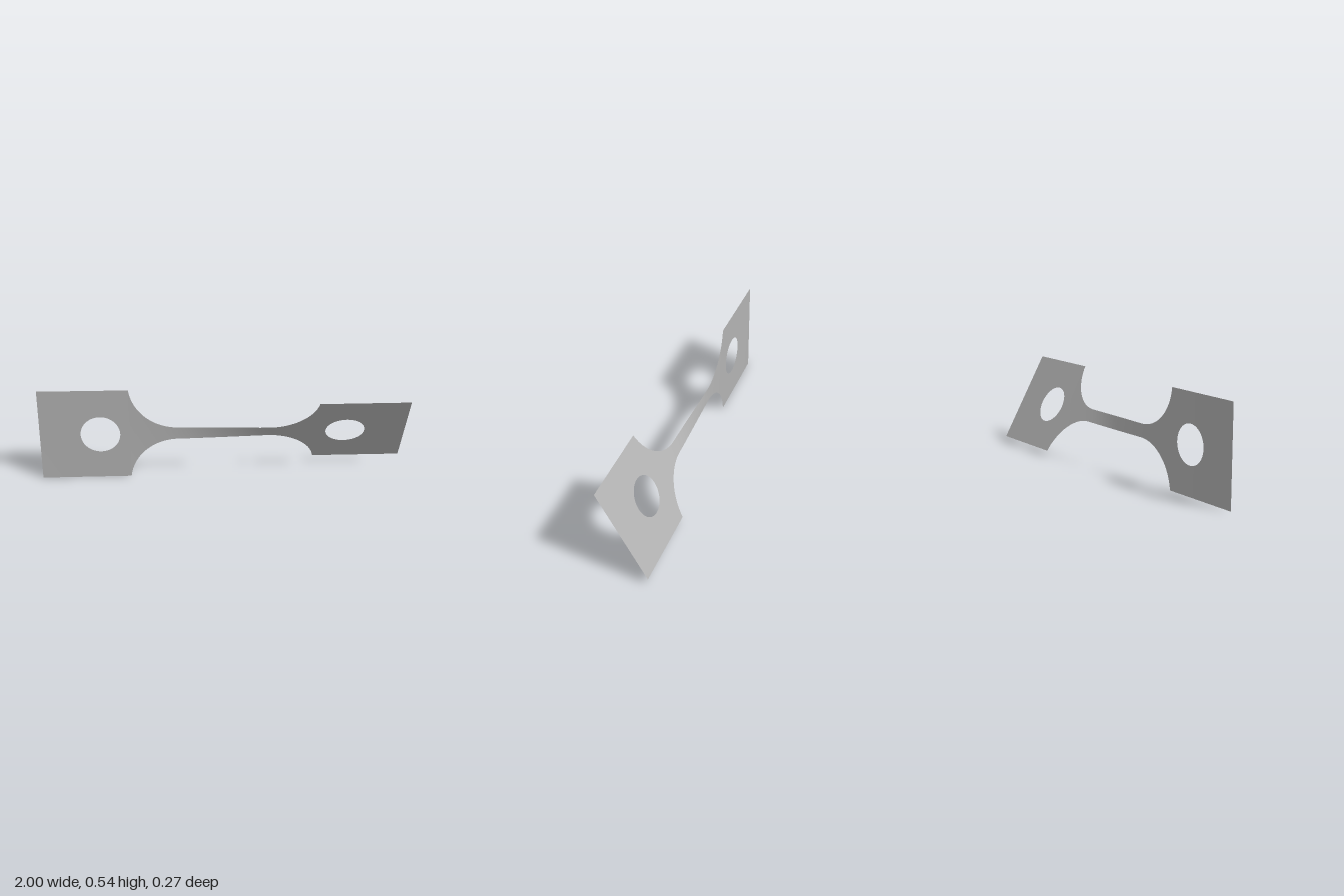
import * as THREE from 'three';

const HALF = 0.271;        // half height of the grips
const NECK = 0.037;        // half height of the gauge strip
const GRIP_X = 0.51;       // inner end of each grip
const FILLET = 0.265;      // fillet radius
const FILLET_X = 0.247;    // where the fillet meets the gauge strip
const HOLE_X = 0.67;
const HOLE_R = 0.108;

// Twist along the length, as [x, degrees]
const TWIST = [[-1, 0.4], [-0.51, 0.9], [-0.3, 3], [-0.2, 6], [0.2, 26], [0.3, 28.4], [0.51, 29.3], [1, 29.3]];

function twistAt(x) {
  let i = 0;
  while (i < TWIST.length - 2 && x > TWIST[i + 1][0]) i++;
  const [x0, a0] = TWIST[i], [x1, a1] = TWIST[i + 1];
  return THREE.MathUtils.degToRad(a0 + (a1 - a0) * (x - x0) / (x1 - x0));
}

// Half height of the outline at x
function outerEdge(x) {
  const a = Math.abs(x);
  if (a >= GRIP_X) return HALF;
  const u = Math.max(0, a - FILLET_X);
  return Math.min(HALF, NECK + FILLET - Math.sqrt(Math.max(0, FILLET * FILLET - u * u)));
}

// Half height of the round hole at x
function innerEdge(x) {
  const d = Math.abs(x) - HOLE_X;
  return Math.sqrt(Math.max(0, HOLE_R * HOLE_R - d * d));
}

// Evenly spaced stations, or stations following a circle
const even = (a, b, n) => Array.from({ length: n + 1 }, (_, i) => a + (b - a) * i / n);
const round = (c, r, n) => Array.from({ length: n + 1 }, (_, i) => c - r * Math.cos(Math.PI * i / n));

// Twisted sheet: an upper and a lower strip between the hole and the outline
function sheet(stations) {
  const rows = 6, pos = [], index = [];
  for (const side of [1, -1]) {
    const base = pos.length / 3;
    stations.forEach((x, i) => {
      const a = twistAt(x), lo = innerEdge(x), hi = outerEdge(x);
      for (let j = 0; j <= rows; j++) {
        const v = side * (lo + (hi - lo) * j / rows);
        pos.push(x, HALF + v * Math.cos(a), v * Math.sin(a));
        if (i === 0 || j === 0) continue;
        const d = base + i * (rows + 1) + j, c = d - 1, b = d - rows - 1, e = b - 1;
        if (side > 0) index.push(e, c, d, e, d, b);
        else index.push(e, d, c, e, b, d);
      }
    });
  }
  const g = new THREE.BufferGeometry();
  g.setAttribute('position', new THREE.Float32BufferAttribute(pos, 3));
  g.setIndex(index);
  g.computeVertexNormals();
  return g;
}

export function createModel() {
  const group = new THREE.Group();
  group.name = 'twistedTestStrip';
  const metal = new THREE.MeshStandardMaterial({ color: 0xb3b3b3, side: THREE.DoubleSide });
  metal.name = 'greyMetal';

  const add = (name, stations) => {
    const mesh = new THREE.Mesh(sheet(stations), metal);
    mesh.name = name;
    group.add(mesh);
  };

  // Grips with a round hole, listed outward from the middle
  const grip = [GRIP_X, ...round(HOLE_X, HOLE_R, 40), ...even(HOLE_X + HOLE_R, 1, 6).slice(1)];
  add('leftGrip', grip);
  add('rightGrip', grip.map((x) => -x).reverse());

  // Fillets, with stations closing up toward the steep corner
  const fillet = even(0, 1, 28).map((t) => FILLET_X + (GRIP_X - FILLET_X) * Math.sin(t * Math.PI / 2));
  add('leftFillet', fillet);
  add('rightFillet', fillet.map((x) => -x).reverse());

  // Narrow gauge strip carrying most of the twist
  add('gaugeStrip', even(-FILLET_X, FILLET_X, 40));

  return group;
}
